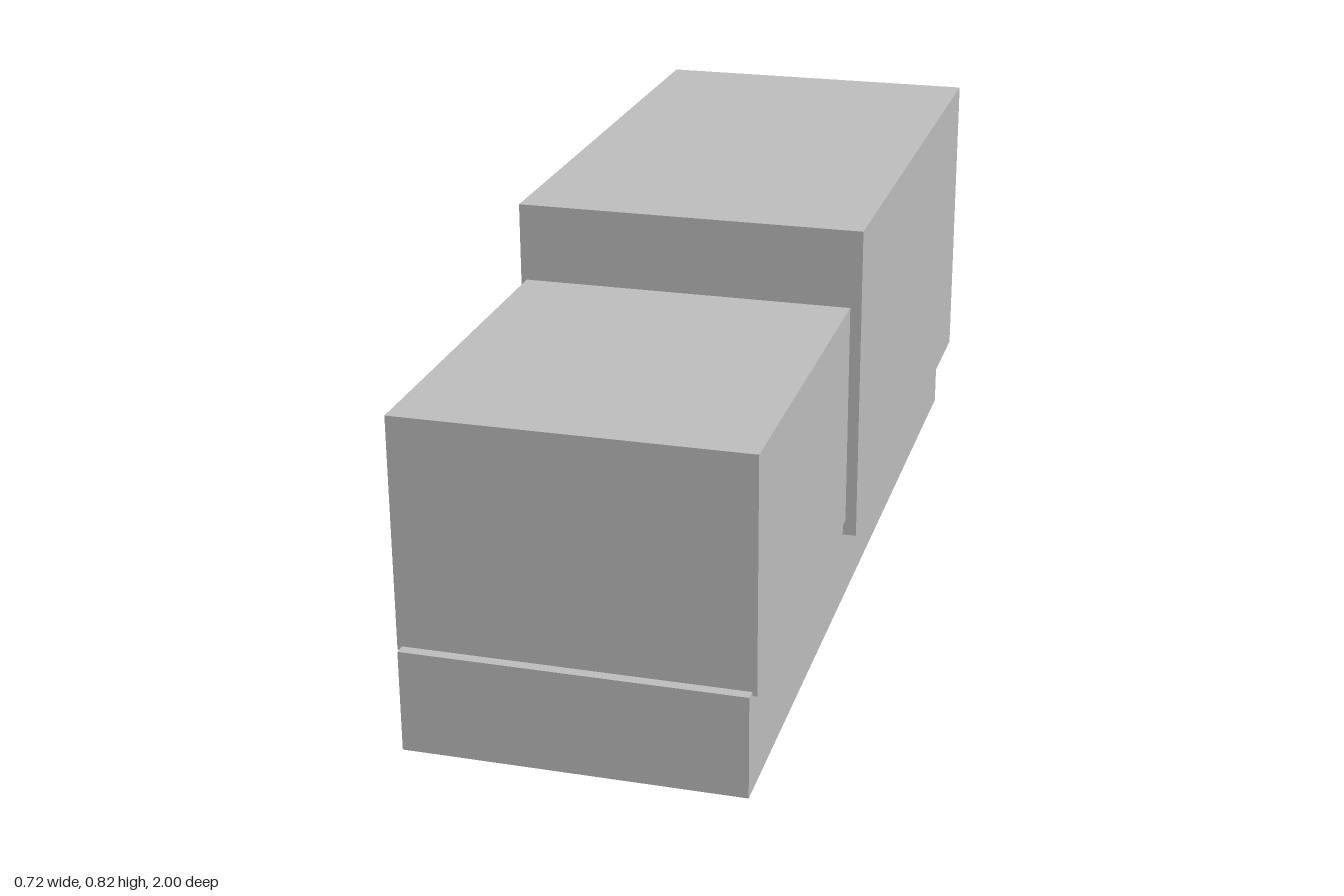
import * as THREE from 'three';

export function createModel() {
  const group = new THREE.Group();
  const grey = new THREE.MeshStandardMaterial({ color: 0xbfbfbf });
  grey.name = 'light grey';

  // Box given by half width and its y and z ranges
  function block(name, halfWidth, [y0, y1], [z0, z1]) {
    const mesh = new THREE.Mesh(new THREE.BoxGeometry(halfWidth * 2, y1 - y0, z1 - z0), grey);
    mesh.position.set(0, (y0 + y1) / 2, (z0 + z1) / 2);
    mesh.name = name;
    group.add(mesh);
  }

  // Long chassis slab with a lower front block and a taller rear block on it
  block('base', 0.332, [0, 0.205], [-0.975, 1]);
  block('frontBlock', 0.341, [0.197, 0.663], [0.214, 0.978]);
  block('rearBlock', 0.36, [0.154, 0.818], [-1, 0.194]);

  return group;
}
